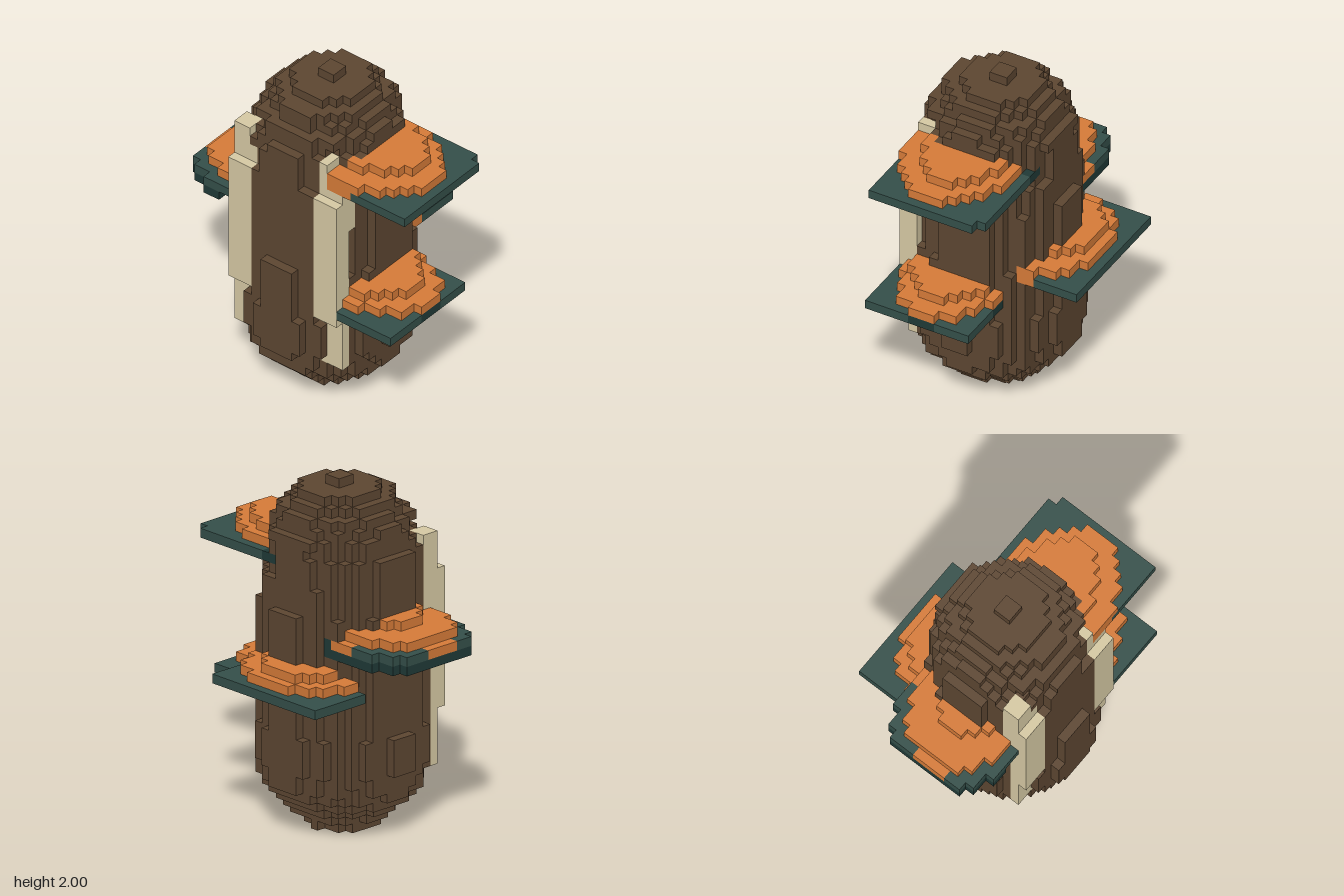
import * as THREE from 'three';

const V = 2 / 37;               // voxel edge
const SIZE = [21, 37, 29];      // grid cells in x, y, z

const material = (name, color) => {
  const m = new THREE.MeshStandardMaterial({ color });
  m.name = name;
  return m;
};

// Trunk rounds: first layer, centre x, centre z, radius in cells, valid up to the next row
const TRUNK = [
  [0, 9, 13.5, 3.5], [1, 8.5, 14, 4.8], [2, 8.5, 14, 5.8], [3, 8.5, 14, 6.9],
  [4, 8.5, 14, 7.7], [5, 8.6, 14, 8.08], [6, 8.5, 14, 8.3], [7, 8.5, 14, 8.6],
  [11, 8.5, 14, 8.3], [17, 8.6, 14, 8.08], [24, 8.5, 14, 7.95], [27, 8.5, 13.7, 7.5],
  [30, 8.5, 14, 7.4], [31, 9, 14, 7], [32, 8.5, 14, 6.8], [33, 9, 14, 6],
  [34, 8.5, 14, 5.3], [35, 9, 14, 4], [36, 9, 14, 0.9],
];

// Superellipse test at a cell centre
const inOval = (i, k, cx, cz, rx, rz, p = 2) =>
  Math.abs((i + 0.5 - cx) / rx) ** p + Math.abs((k + 0.5 - cz) / rz) ** p <= 1;

function inTrunk(i, j, k, grow = 0) {
  const [, cx, cz, r] = TRUNK.filter((row) => row[0] <= j).pop();
  return inOval(i, k, cx, cz, r + grow, r + grow);
}

export function createModel() {
  const materials = {
    bark: material('bark brown', 0x5e4732),
    cap: material('shelf orange', 0xd87c39),
    rim: material('rim teal', 0x35504a),
    shade: material('dark teal', 0x203a37),
    lichen: material('pale lichen', 0xd8cba5),
  };

  const cells = new Map();
  const key = (i, j, k) => i + ',' + j + ',' + k;

  // Fill a box of cells (upper limits exclusive) where the test passes; later parts replace earlier ones
  function fill(part, color, [i0, i1], [j0, j1], [k0, k1], test = () => true) {
    for (let i = i0; i < i1; i++) for (let j = j0; j < j1; j++) for (let k = k0; k < k1; k++) {
      if (test(i, j, k)) cells.set(key(i, j, k), { part, color, c: [i, j, k] });
    }
  }

  // Trunk
  fill('trunk', 'bark', [0, 21], [0, 37], [0, 29], (i, j, k) => inTrunk(i, j, k));

  // Lichen strips, mirrored front to back on the model's right side
  for (const [name, k, tip] of [['frontLichen', [18, 21], [18, 19]], ['backLichen', [7, 10], [7, 9]]]) {
    fill(name, 'lichen', [1, 2], [12, 27], k);
    fill(name, 'lichen', [2, 3], [6, 29], k);
    fill(name, 'lichen', [3, 4], [23, 29], k);
    fill(name, 'lichen', [2, 4], [29, 31], tip);
  }

  // Bracket shelf: thin teal plate with an orange root, then two stepped orange caps
  function shelf(name, j, xr, zr, capX, capZ, low, high, plate = () => true) {
    fill(name, 'rim', xr, [j, j + 1], zr, plate);
    fill(name, 'cap', xr, [j, j + 1], zr,
      (i, y, k) => plate(i, y, k) && inOval(i, k, ...low) && inTrunk(i, y, k, 3));
    fill(name, 'cap', capX, [j + 1, j + 2], capZ, (i, y, k) => inOval(i, k, ...low));
    fill(name, 'cap', capX, [j + 2, j + 3], capZ, (i, y, k) =>
      inOval(i, k, ...high) && !inTrunk(i, y, k));
  }

  // Upper front shelf with a dark side edge and three pegs beneath
  shelf('upperFrontShelf', 28, [2, 15], [17, 29], [2, 14], [19, 29],
    [8, 19.5, 6, 8.5], [8.5, 19.5, 4.5, 6.5], (i, j, k) =>
      !(k === 28 && i === 14) && (i === 14 || k > 18));
  fill('upperFrontShelf', 'shade', [14, 15], [28, 29], [17, 19]);
  for (const i of [5, 8, 10]) fill('shelfPegs', 'shade', [i, i + 1], [27, 28], [21, 22]);

  // Lower front shelf with dark patches on its edges
  shelf('lowerFrontShelf', 13, [1, 13], [21, 28], [2, 13], [20, 28],
    [7.5, 20, 5.5, 8], [7.5, 20, 4.5, 6]);
  fill('lowerFrontShelf', 'shade', [6, 9], [13, 14], [27, 28]);
  fill('lowerFrontShelf', 'shade', [12, 13], [13, 14], [21, 23]);

  // Left side shelf
  shelf('leftShelf', 16, [14, 21], [5, 20], [14, 20], [6, 20],
    [13, 13, 7, 7, 2.5], [13, 12.5, 6, 4.6, 2.5]);

  // Back shelf: rounded plate with orange edge patches over a dark lower rim
  const backPlate = (i, j, k) => inOval(i, k, 8.5, 8, 6.5, 8, 3.5);
  shelf('backShelf', 21, [2, 15], [0, 10], [3, 14], [1, 9],
    [8.5, 9, 5.5, 8, 3], [8.5, 9, 4, 5], backPlate);
  fill('backShelf', 'cap', [6, 10], [21, 22], [0, 1]);
  fill('backShelf', 'cap', [14, 15], [21, 22], [6, 9]);
  fill('backShelf', 'shade', [14, 15], [21, 22], [9, 10]);
  fill('backShelf', 'shade', [2, 15], [20, 21], [0, 10],
    (i, j, k) => backPlate(i, j, k) && (i === 14 || !inTrunk(i, j, k, 3)));

  // Collect the exposed faces of every part and colour
  const buckets = new Map();
  for (const { part, color, c } of cells.values()) {
    const id = part + '|' + color;
    if (!buckets.has(id)) buckets.set(id, []);
    const out = buckets.get(id);
    for (let a = 0; a < 3; a++) for (const s of [-1, 1]) {
      const n = [...c];
      n[a] += s;
      if (cells.has(key(...n))) continue;
      const u = (a + 1) % 3, w = (a + 2) % 3;
      const corners = [[0, 0], [1, 0], [1, 1], [0, 1]].map(([du, dw]) => {
        const p = [...c];
        if (s > 0) p[a] += 1;
        p[u] += du;
        p[w] += dw;
        return [(p[0] - SIZE[0] / 2) * V, p[1] * V, (p[2] - SIZE[2] / 2) * V];
      });
      const order = s > 0 ? [0, 1, 2, 0, 2, 3] : [0, 2, 1, 0, 3, 2];
      for (const o of order) out.push(...corners[o]);
    }
  }

  // One named group per part, one mesh per colour
  const model = new THREE.Group();
  model.name = 'shelfFungusTrunk';
  const groups = {};
  for (const [id, positions] of buckets) {
    const [part, color] = id.split('|');
    if (!groups[part]) {
      groups[part] = new THREE.Group();
      groups[part].name = part;
      model.add(groups[part]);
    }
    const geometry = new THREE.BufferGeometry();
    geometry.setAttribute('position', new THREE.Float32BufferAttribute(positions, 3));
    geometry.computeVertexNormals();
    const mesh = new THREE.Mesh(geometry, materials[color]);
    mesh.name = part + ' ' + materials[color].name;
    groups[part].add(mesh);
  }
  return model;
}
